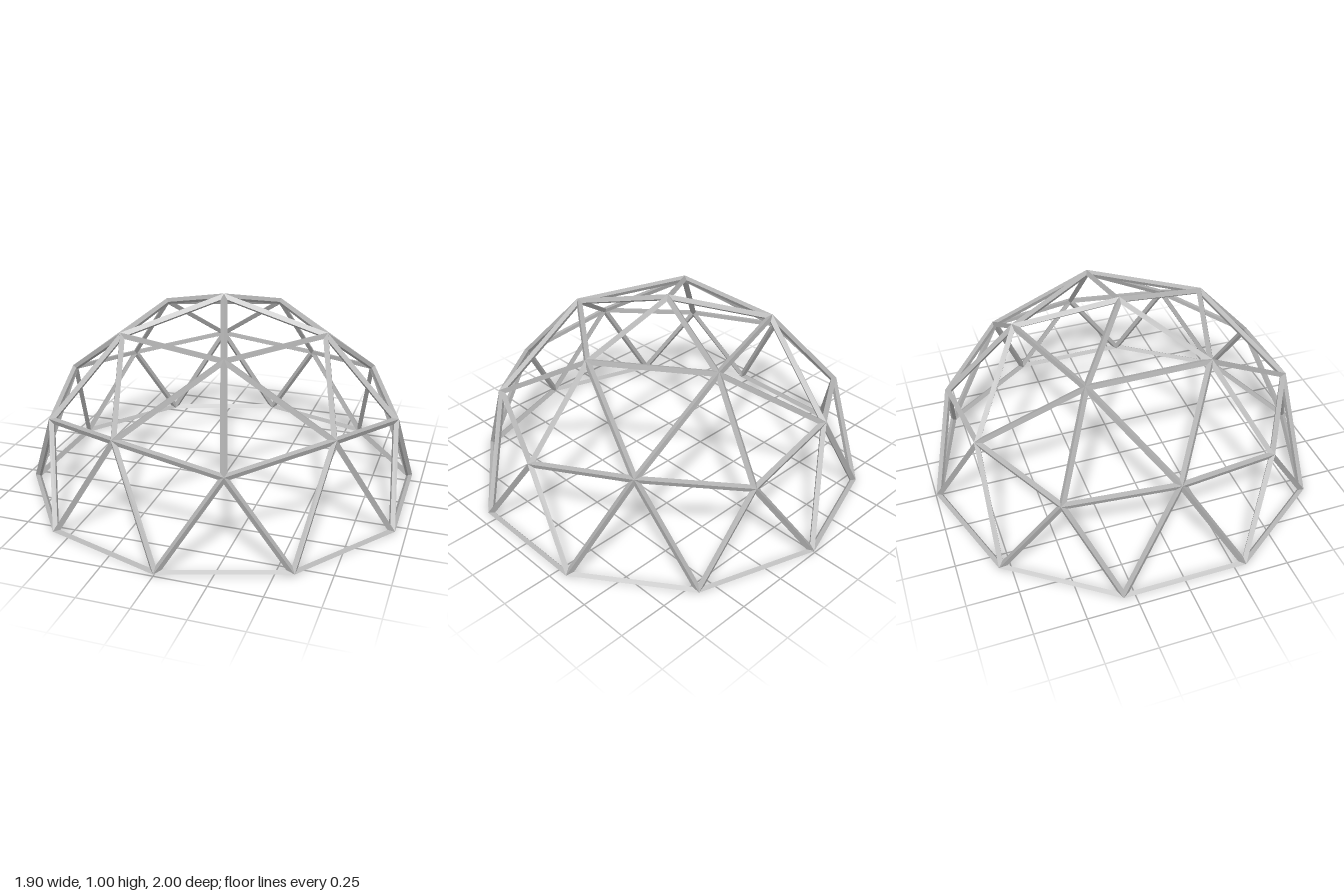
import * as THREE from 'three';

const R = 0.982;      // dome radius at the strut centre lines
const HALF = 0.0165;  // half thickness of a strut
const TAU = Math.PI * 2;

// Point on the dome from its height (as a fraction of R) and heading in degrees
function node(height, degrees, ring) {
  const a = degrees * TAU / 360, r = Math.sqrt(1 - height * height);
  const p = new THREE.Vector3(r * Math.cos(a), height, r * Math.sin(a)).multiplyScalar(R);
  return { p, ring, normal: new THREE.Vector3() };
}

// Corner c moved into its triangle, HALF away from both edges
function inset(c, a, b) {
  const u = a.p.clone().sub(c.p).normalize(), v = b.p.clone().sub(c.p).normalize();
  const sinHalf = Math.sqrt((1 - u.dot(v)) / 2);
  return c.p.clone().addScaledVector(u.add(v).normalize(), HALF / sinHalf);
}

export function createModel() {
  const model = new THREE.Group();
  const steel = new THREE.MeshStandardMaterial({ color: 0xb4b4b4, flatShading: true });
  steel.name = 'grey steel';

  // Nodes: apex, crown ring of 5, waist ring of 10 (alternating heights), base ring of 10
  const apex = node(1, 0, 'apex');
  const crown = [], waist = [], base = [];
  for (let k = 0; k < 5; k++) crown.push(node(0.8507, 72 * k, 'crown'));
  for (let j = 0; j < 10; j++) {
    waist.push(node(j % 2 ? 0.5257 : 0.4472, 36 * j, 'waist'));
    base.push(node(0, 18 + 36 * j, 'base'));
  }

  // Triangular bays
  const bays = [];
  for (let k = 0; k < 5; k++) {
    const c = crown[k], d = crown[(k + 1) % 5], w = waist[2 * k + 1];
    bays.push([apex, c, d], [c, d, w], [c, waist[2 * k], w], [c, waist[2 * k], waist[(2 * k + 9) % 10]]);
  }
  for (let j = 0; j < 10; j++) {
    bays.push([waist[j], waist[(j + 1) % 10], base[j]], [waist[j], base[j], base[(j + 9) % 10]]);
  }

  // Turn every bay outward and sum the node normals
  for (const bay of bays) {
    const n = new THREE.Triangle(bay[0].p, bay[1].p, bay[2].p).getNormal(new THREE.Vector3());
    if (n.dot(bay[0].p) < 0) {
      bay.reverse();
      n.negate();
    }
    bay.forEach(q => q.normal.add(n));
  }
  const nodes = [apex, ...crown, ...waist, ...base];
  for (const q of nodes) {
    q.normal.normalize();
    q.outer = q.p.clone().addScaledVector(q.normal, HALF);
    q.inner = q.p.clone().addScaledVector(q.normal, -HALF);
  }

  // Diamond-section struts, mitred together at the nodes
  const parts = { crownStruts: [], upperStruts: [], lowerStruts: [], baseRing: [] };
  const quad = (list, a, b, c, d) => [a, b, c, a, c, d].forEach(v => list.push(v.x, v.y, v.z));
  for (const bay of bays) {
    for (let i = 0; i < 3; i++) {
      const a = bay[i], b = bay[(i + 1) % 3], c = bay[(i + 2) % 3];
      const rings = [a.ring, b.ring];
      const onRim = a.ring === 'base' && b.ring === 'base';
      const name = onRim ? 'baseRing' : rings.includes('base') ? 'lowerStruts'
        : rings.includes('waist') ? 'upperStruts' : 'crownStruts';
      const ia = inset(a, b, c), ib = inset(b, c, a), list = parts[name];
      quad(list, a.outer, b.outer, ib, ia);
      quad(list, b.inner, a.inner, ia, ib);
      // Underside that closes the base ring
      if (onRim) quad(list, b.outer, a.outer, a.inner, b.inner);
    }
  }

  // Rest the lowest point on the ground
  const floor = Math.min(...base.map(q => q.inner.y));
  for (const [name, list] of Object.entries(parts)) {
    const geometry = new THREE.BufferGeometry();
    geometry.setAttribute('position', new THREE.Float32BufferAttribute(list, 3));
    geometry.computeVertexNormals();
    const mesh = new THREE.Mesh(geometry, steel);
    mesh.name = name;
    mesh.position.y = -floor;
    model.add(mesh);
  }
  model.name = 'geodesicDome';
  return model;
}
